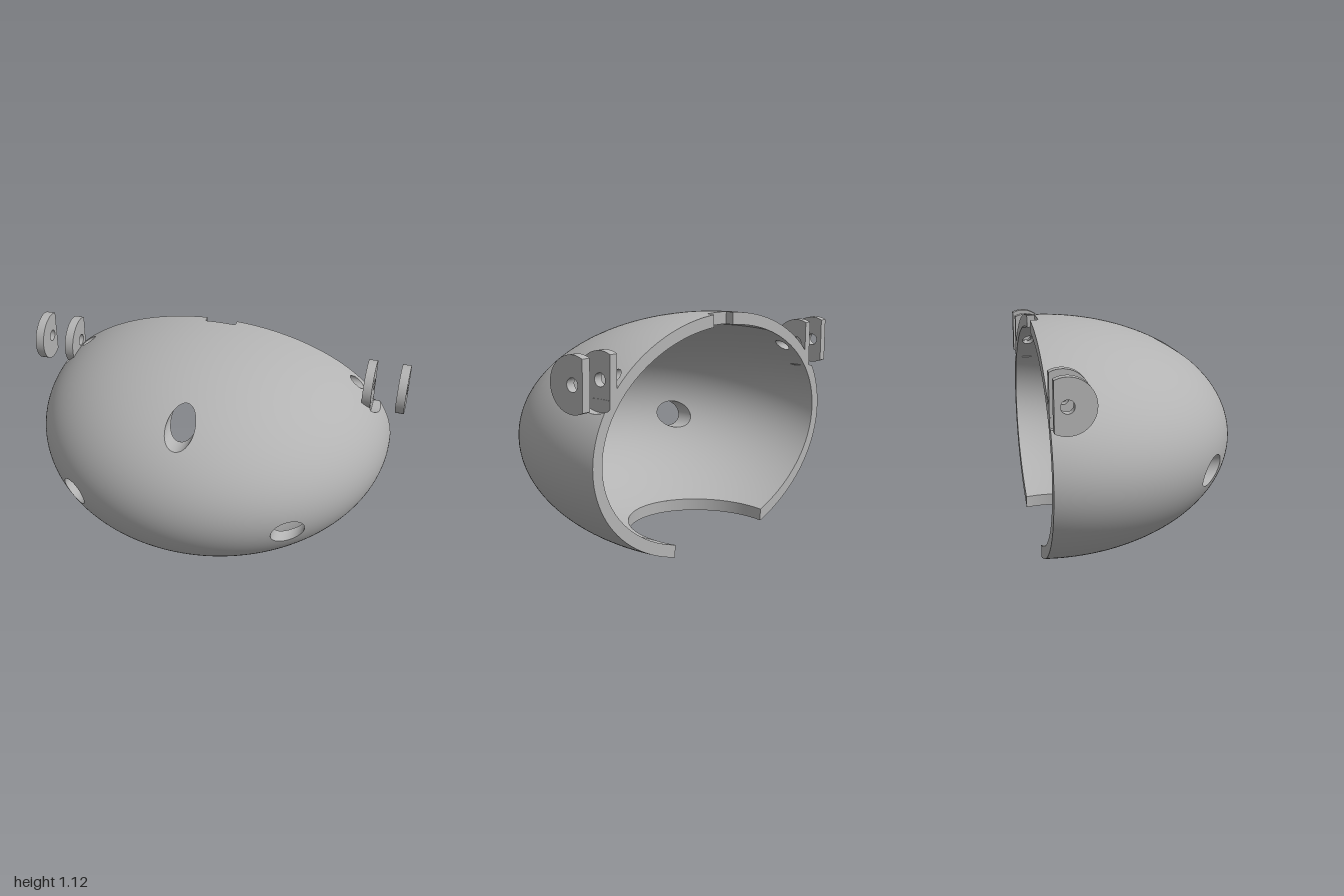
import * as THREE from 'three';

const CY = 0.545, CZ = -0.44, BACK = -0.5;        // ellipsoid centre, back cut plane
const OUT = [0.945, 0.585, 0.94], WALL = 0.06;
const INN = OUT.map((r) => r - WALL);
const CUT = { z: -0.403, r: 0.383 };              // round opening underneath
const NOTCH = { x: 0.08, z: -0.46 };              // notch in the top of the rim
const PIVOT = { y: 0.907, z: -0.443, r: 0.03 };   // hinge axis
const RECESS = { x: 0.83, r: 0.14 };              // clearance beside the inner lug
const HOLES = [[0, 0.935, 0.072], [0.56, 0.46, 0.074], [-0.56, 0.46, 0.074]];
const TAU = Math.PI * 2;

const root = (v) => Math.sqrt(Math.max(0, v));
const mix = THREE.MathUtils.lerp;

// distance from the centre planes to the ellipsoid along each axis
const hitX = (E, y, z) => E[0] * root(1 - ((y - CY) / E[1]) ** 2 - ((z - CZ) / E[2]) ** 2);
const hitY = (E, x, z) => CY + E[1] * root(1 - (x / E[0]) ** 2 - ((z - CZ) / E[2]) ** 2);
const lowY = (E, x, z) => 2 * CY - hitY(E, x, z);
const hitZ = (E, x, y) => CZ + E[2] * root(1 - (x / E[0]) ** 2 - ((y - CY) / E[1]) ** 2);

// keep-fields: positive where material stays
const keepBack = ([, , z]) => z - BACK;
const keepCut = ([x, y, z]) => (y > CY ? 1 : Math.hypot(x, z - CUT.z) - CUT.r);
const keepNotch = ([x, y, z]) => (y < CY ? 1 : Math.max(Math.abs(x) - NOTCH.x, z - NOTCH.z));
const pivotDistance = (y, z) => Math.hypot(y - PIVOT.y, z - PIVOT.z);
const keepBolt = ([, y, z]) => pivotDistance(y, z) - PIVOT.r;
const keepRecess = ([x, y, z]) => Math.max(RECESS.x - Math.abs(x), pivotDistance(y, z) - RECESS.r);
const keepHoles = HOLES.map(([hx, hy, r]) => ([x, y, z]) => (z < -0.3 ? 1 : Math.hypot(x - hx, y - hy) - r));

// trims a polygon of (u, v) points to the region where field(u, v) >= 0
function clip(poly, field) {
  const d = poly.map(field);
  if (d.every((k) => k >= 0)) return poly;
  const out = [];
  poly.forEach((p, i) => {
    const j = (i + 1) % poly.length, q = poly[j];
    if (d[i] >= 0) out.push(p);
    if ((d[i] >= 0) !== (d[j] >= 0)) {
      let a = 0, b = 1;
      const at = (t) => [mix(p[0], q[0], t), mix(p[1], q[1], t)];
      for (let n = 0; n < 18; n++) {
        const m = (a + b) / 2;
        if ((field(at(m)) >= 0) === (d[i] >= 0)) a = m; else b = m;
      }
      out.push(at((a + b) / 2));
    }
  });
  return out;
}

// parametric surface fn(u, v), u and v in 0..1, trimmed by keep-fields
function trimmed(fn, nu, nv, keeps) {
  const pos = [], nor = [], index = [];
  const fields = keeps.map((k) => ([u, v]) => k(fn(u, v)));
  const vec = (u, v) => new THREE.Vector3(...fn(u, v));
  const h = 1e-4;
  for (let i = 0; i < nu; i++) for (let j = 0; j < nv; j++) {
    let poly = [[i, j], [i + 1, j], [i + 1, j + 1], [i, j + 1]].map(([a, b]) => [a / nu, b / nv]);
    for (const f of fields) if (poly.length) poly = clip(poly, f);
    if (poly.length < 3) continue;
    const first = pos.length / 3;
    for (const [u, v] of poly) {
      const w = Math.min(Math.max(v, 0.002), 0.998);
      const du = vec(u + h, w).sub(vec(u - h, w)), dv = vec(u, w + h).sub(vec(u, w - h));
      pos.push(...fn(u, v));
      nor.push(...du.cross(dv).normalize().toArray());
    }
    for (let k = 1; k < poly.length - 1; k++) index.push(first, first + k, first + k + 1);
  }
  const g = new THREE.BufferGeometry();
  g.setAttribute('position', new THREE.Float32BufferAttribute(pos, 3));
  g.setAttribute('normal', new THREE.Float32BufferAttribute(nor, 3));
  g.setIndex(index);
  return g;
}

// front part of an ellipsoid; dir = 1 or -1 sets which way it faces
const dome = (E, dir) => (u, v) => {
  const t = -dir * u * TAU, p = v * Math.acos((BACK - CZ) / E[2]);
  return [E[0] * Math.sin(p) * Math.cos(t), CY + E[1] * Math.sin(p) * Math.sin(t), CZ + E[2] * Math.cos(p)];
};

// half-round hinge plate with a bolt hole and a flat back
function lugGeometry(depth) {
  const R = 0.125, a = Math.acos((-BACK + PIVOT.z) / R);
  const shape = new THREE.Shape();
  shape.absarc(-PIVOT.z, PIVOT.y, R, a, TAU - a, false);
  shape.closePath();
  const hole = new THREE.Path();
  hole.absarc(-PIVOT.z, PIVOT.y, PIVOT.r, 0, TAU, true);
  shape.holes.push(hole);
  return new THREE.ExtrudeGeometry(shape, { depth, bevelEnabled: false, curveSegments: 48 }).rotateY(Math.PI / 2);
}

export function createModel() {
  const model = new THREE.Group();
  const grey = new THREE.MeshStandardMaterial({ color: 0xb3b3b3, side: THREE.DoubleSide });
  grey.name = 'grey';
  const add = (name, geometry) => {
    const mesh = new THREE.Mesh(geometry, grey);
    mesh.name = name;
    model.add(mesh);
    return mesh;
  };

  // shell skins and the flat rim joining them at the back
  const common = [keepCut, keepNotch, keepBolt, ...keepHoles];
  add('outerShell', trimmed(dome(OUT, -1), 240, 90, [...common, keepRecess]));
  add('innerShell', trimmed(dome(INN, 1), 240, 90, common));
  const outer = dome(OUT, 1), inner = dome(INN, 1);
  add('backRim', trimmed((u, v) => {
    const p = inner(u, 1), q = outer(u, 1);
    return [mix(p[0], q[0], v), mix(p[1], q[1], v), BACK];
  }, 240, 4, [keepCut, keepNotch, keepRecess]));

  // wall of the opening underneath
  add('bottomOpeningWall', trimmed((u, v) => {
    const x = CUT.r * Math.cos(u * TAU), z = CUT.z + CUT.r * Math.sin(u * TAU);
    return [x, mix(lowY(OUT, x, z), lowY(INN, x, z), v), z];
  }, 120, 1, [keepBack]));

  // walls of the three front holes
  HOLES.forEach(([hx, hy, r]) => add('frontHoleWall', trimmed((u, v) => {
    const x = hx + r * Math.cos(u * TAU), y = hy + r * Math.sin(u * TAU);
    return [x, y, mix(hitZ(INN, x, y), hitZ(OUT, x, y), v)];
  }, 64, 1, [])));

  // walls of the rim notch
  add('notchFront', trimmed((u, v) => {
    const x = mix(-NOTCH.x, NOTCH.x, u);
    return [x, mix(hitY(OUT, x, NOTCH.z), hitY(INN, x, NOTCH.z), v), NOTCH.z];
  }, 8, 1, []));
  for (const s of [1, -1]) {
    const side = s > 0 ? 'left' : 'right';
    add(side + 'NotchWall', trimmed((u, v) => {
      const z = mix(BACK, NOTCH.z, u);
      return [s * NOTCH.x, mix(hitY(INN, NOTCH.x, z), hitY(OUT, NOTCH.x, z), v), z];
    }, 4, 1, []));

    // bolt hole through the shell
    add(side + 'BoltHoleWall', trimmed((u, v) => {
      const y = PIVOT.y + PIVOT.r * Math.sin(u * TAU), z = PIVOT.z + PIVOT.r * Math.cos(u * TAU);
      return [s * mix(hitX(INN, y, z), hitX(OUT, y, z), v), y, z];
    }, 32, 1, []));

    // round clearance recess: curved wall and flat floor
    add(side + 'RecessWall', trimmed((u, v) => {
      const y = PIVOT.y + RECESS.r * Math.sin(u * TAU), z = PIVOT.z + RECESS.r * Math.cos(u * TAU);
      return [s * mix(RECESS.x, hitX(OUT, y, z), v), y, z];
    }, 96, 1, [keepBack, ([, y, z]) => hitX(OUT, y, z) - RECESS.x]));
    add(side + 'RecessFloor', trimmed((u, v) => [
      s * RECESS.x,
      PIVOT.y + v * RECESS.r * Math.sin(u * TAU),
      PIVOT.z + v * RECESS.r * Math.cos(u * TAU),
    ], 96, 8, [keepBack, ([, y, z]) => hitX(OUT, y, z) - RECESS.x]));

    // pair of hinge lugs
    const depth = 0.045;
    for (const [name, x] of [['InnerLug', 0.807], ['OuterLug', 0.9775]]) {
      add(side + name, lugGeometry(depth)).position.x = s * x - depth / 2;
    }
  }
  return model;
}
